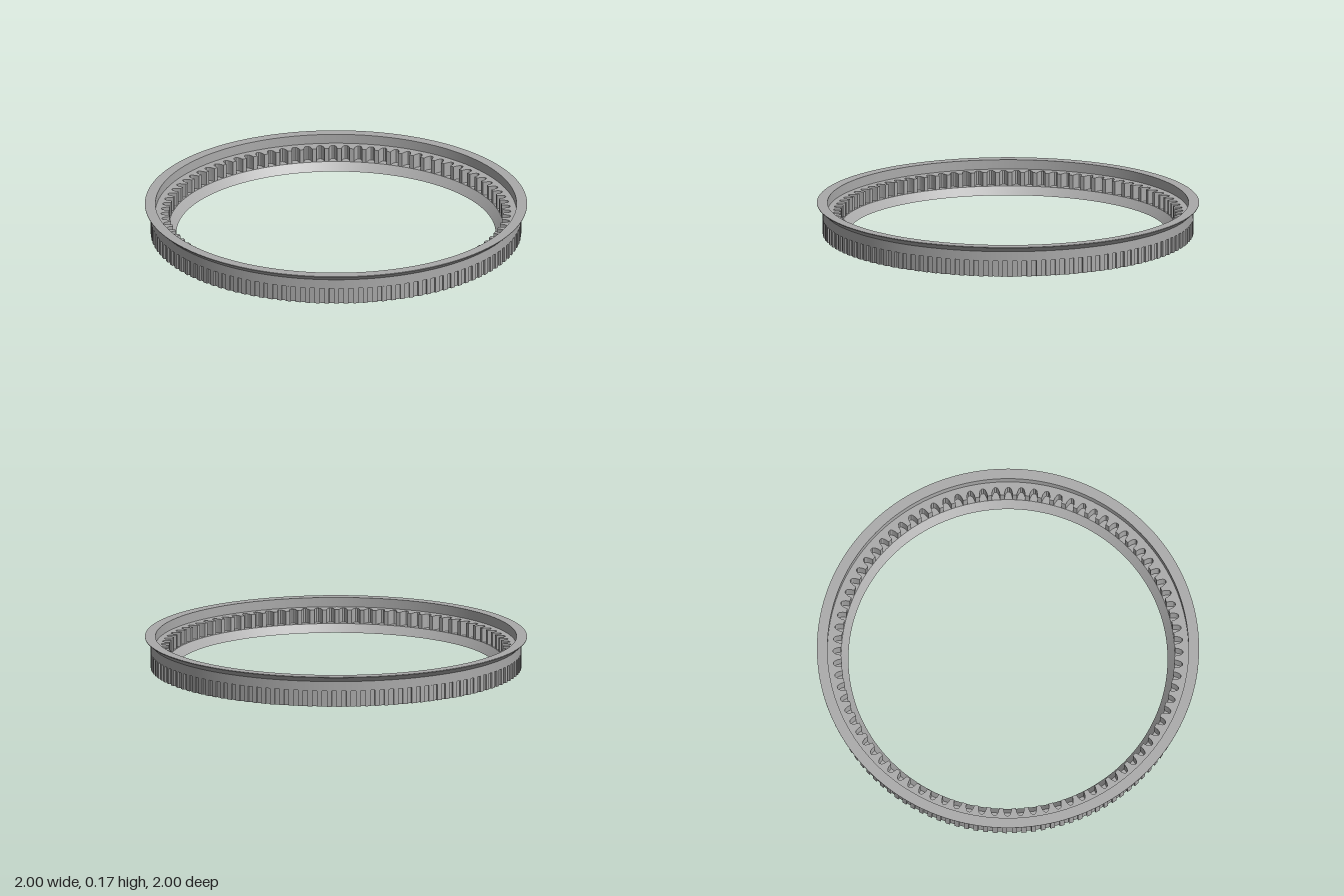
import * as THREE from 'three';
import { mergeGeometries, toCreasedNormals } from 'three/addons/utils/BufferGeometryUtils.js';

const TEETH = 84;
const NOTCHES = 120;

// Revolved profile, sharp between profile points and smooth around the ring
function ring(profile) {
  const bands = [];
  for (let i = 0; i < profile.length - 1; i++) {
    const pair = [profile[i], profile[i + 1]].map(([r, y]) => new THREE.Vector2(r, y));
    bands.push(new THREE.LatheGeometry(pair, 168));
  }
  return mergeGeometries(bands);
}

// Closed outline repeating a pattern of [fraction of pitch, radius]
function repeated(count, pattern) {
  const pts = [];
  const pitch = (Math.PI * 2) / count;
  for (let i = 0; i < count; i++) {
    for (const [f, r] of pattern) {
      const a = (i + f) * pitch;
      pts.push(new THREE.Vector2(Math.cos(a) * r, Math.sin(a) * r));
    }
  }
  return pts;
}

// Upright slab between an outer and an inner outline
function slab(outer, inner, y0, y1) {
  const shape = new THREE.Shape(outer);
  shape.holes.push(new THREE.Path(inner));
  const geo = new THREE.ExtrudeGeometry(shape, { depth: y1 - y0, bevelEnabled: false });
  geo.rotateX(-Math.PI / 2);
  geo.translate(0, y0, 0);
  return toCreasedNormals(geo, 0.4);
}

const circle = (r) => repeated(168, [[0, r]]);

export function createModel() {
  const group = new THREE.Group();
  const grey = new THREE.MeshStandardMaterial({ color: 0xaaaaaa });
  grey.name = 'grey';

  const add = (name, geometry) => {
    const mesh = new THREE.Mesh(geometry, grey);
    mesh.name = name;
    group.add(mesh);
  };

  // Flared top rim with its recess wall
  add('flaredRim', ring([
    [0.94, 0.085], [0.97, 0.085], [0.97, 0.135], [1, 0.162],
    [1, 0.165], [0.945, 0.165], [0.945, 0.115],
  ]));

  // Inner lip: floor below the teeth, chamfer and underside
  add('innerLip', ring([[0.925, 0.041], [0.873, 0.041], [0.835, 0], [0.925, 0]]));

  // Outer skirt with small grip notches
  add('notchedSkirt', slab(
    repeated(NOTCHES, [[-0.25, 0.97], [0.25, 0.97], [0.25, 0.961], [0.75, 0.961]]),
    circle(0.925), 0, 0.085,
  ));

  // Internal gear teeth with rounded gaps
  const gap = [[0.33, 0.873], [0.28, 0.893], [0.19, 0.908], [0.08, 0.915]];
  const gapOutline = [
    ...gap.map(([f, r]) => [-f, r]),
    ...gap.slice().reverse(),
    [0.5, 0.873],
  ];
  add('internalTeeth', slab(circle(0.946), repeated(TEETH, gapOutline), 0.041, 0.115));

  return group;
}
